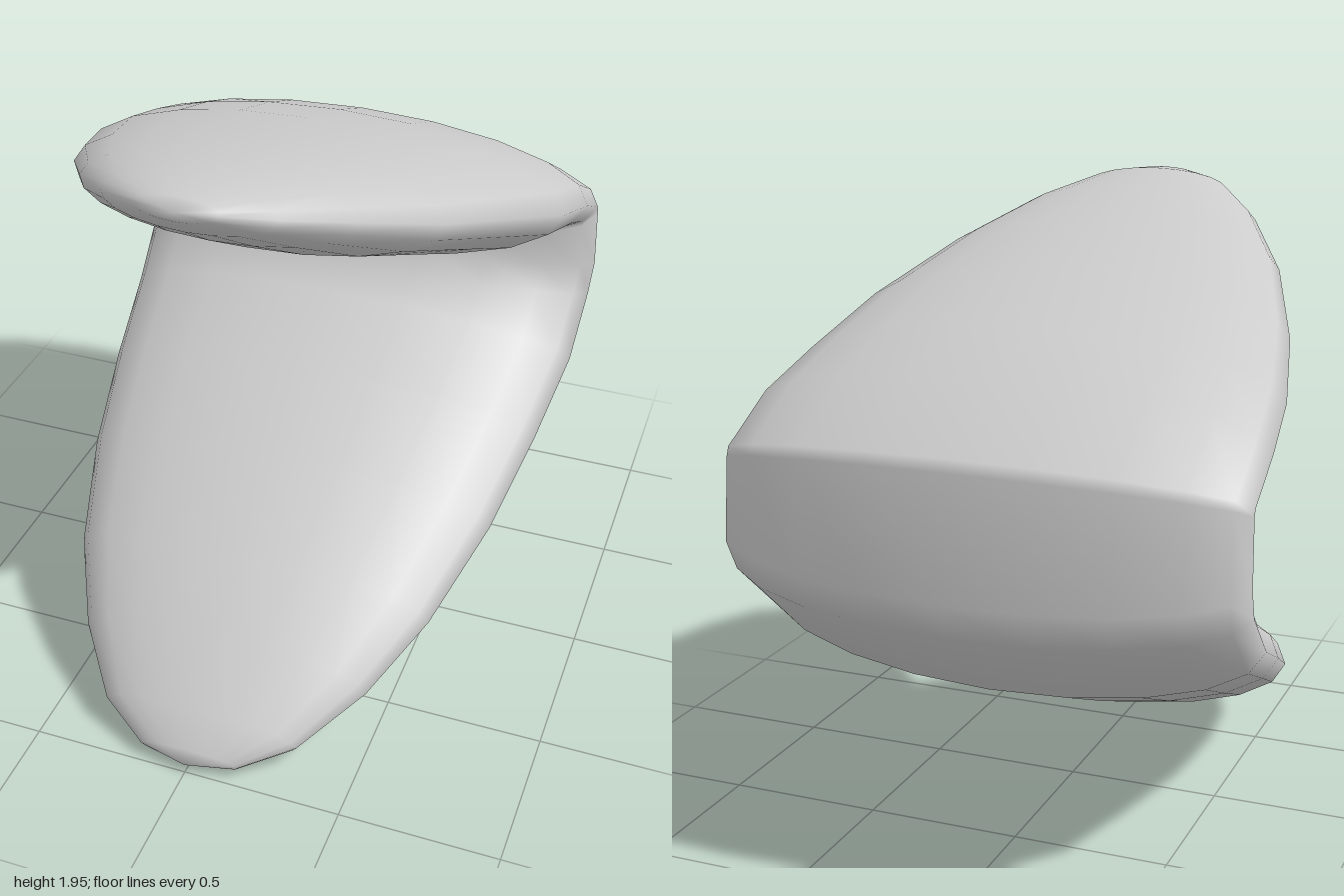
import * as THREE from 'three';

// Stations along the folded pad, from the upper tip round the spine to the lower tip:
// [outer z, outer y, inner z, inner y, half width]
const STATIONS = [
  [0.88, 1.945, 0.905, 1.885, 0.12],
  [0.78, 1.95, 0.84, 1.82, 0.25],
  [0.56, 1.91, 0.68, 1.71, 0.41],
  [0.27, 1.835, 0.42, 1.55, 0.57],
  [-0.1, 1.725, 0.06, 1.37, 0.705],
  [-0.42, 1.61, -0.2, 1.235, 0.775],
  [-0.66, 1.51, -0.45, 1.165, 0.805],
  [-0.935, 1.34, -0.55, 1.135, 0.81], // tight pair keeps the rear ridge crisp
  [-0.952, 1.305, -0.55, 1.125, 0.81],
  [-1.0, 0.94, -0.53, 1.08, 0.815],
  [-0.96, 0.83, -0.48, 1.0, 0.81],
  [-0.68, 0.57, -0.4, 0.935, 0.8],
  [-0.36, 0.43, -0.12, 0.8, 0.76],
  [0, 0.28, 0.18, 0.645, 0.7],
  [0.35, 0.155, 0.5, 0.465, 0.6],
  [0.62, 0.06, 0.72, 0.31, 0.475],
  [0.84, 0.01, 0.9, 0.17, 0.32],
  [0.95, 0, 0.985, 0.08, 0.16],
];
const UPPER_TIP = [0, 1.915, 0.912];
const LOWER_TIP = [0, 0.03, 1];
const SIDES = 20;

// Skin elliptical rings through the stations and close both ends on a tip point
function foldedPadGeometry() {
  const positions = [];
  const index = [];
  for (const [oz, oy, iz, iy, w] of STATIONS) {
    for (let j = 0; j < SIDES; j++) {
      const a = (j / SIDES) * Math.PI * 2;
      const c = Math.cos(a) / 2;
      positions.push(
        w * Math.sin(a),
        (oy + iy) / 2 + c * (oy - iy),
        (oz + iz) / 2 + c * (oz - iz)
      );
    }
  }
  const last = STATIONS.length - 1;
  const upper = STATIONS.length * SIDES;
  const lower = upper + 1;
  positions.push(...UPPER_TIP, ...LOWER_TIP);

  for (let j = 0; j < SIDES; j++) {
    const k = (j + 1) % SIDES;
    for (let i = 0; i < last; i++) {
      const a = i * SIDES + j, b = i * SIDES + k;
      index.push(a, b, a + SIDES, b, b + SIDES, a + SIDES);
    }
    index.push(upper, k, j);
    index.push(lower, last * SIDES + j, last * SIDES + k);
  }

  const geometry = new THREE.BufferGeometry();
  geometry.setAttribute('position', new THREE.Float32BufferAttribute(positions, 3));
  geometry.setIndex(index);
  geometry.computeVertexNormals();
  return geometry;
}

export function createModel() {
  const group = new THREE.Group();
  group.name = 'foldedPad';
  const material = new THREE.MeshStandardMaterial({ color: 0xcccccc });
  const pad = new THREE.Mesh(foldedPadGeometry(), material);
  pad.name = 'padBody';
  group.add(pad);
  return group;
}
